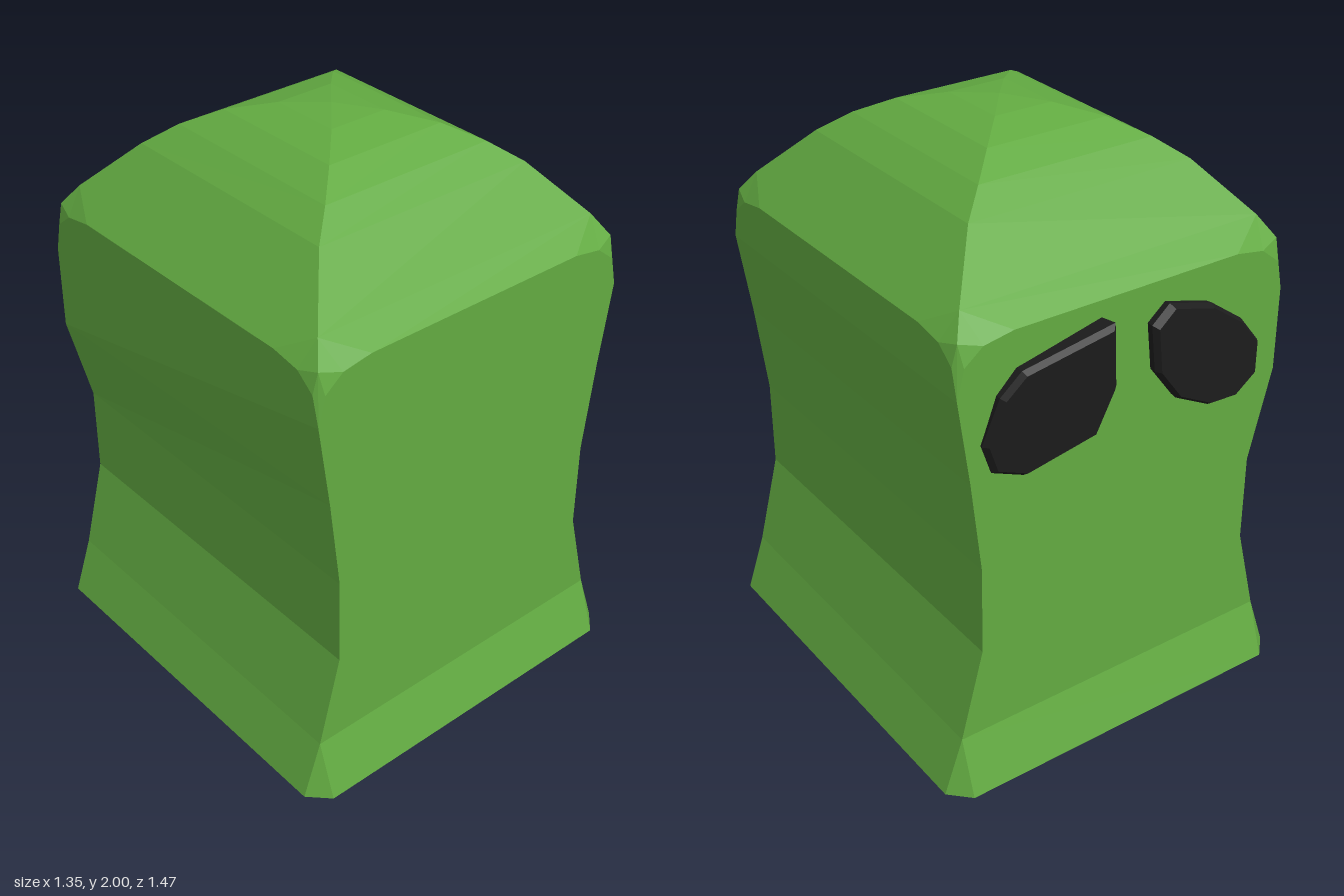
import * as THREE from 'three';

const green = new THREE.MeshStandardMaterial({ color: 0x62aa41 });
green.name = 'green';
const black = new THREE.MeshStandardMaterial({ color: 0x1c1c1c });
black.name = 'black';

// Collects flat faces, turning each one away from a vertical core line.
class FaceBuilder {
  constructor(coreX, coreZ, lowY, highY) {
    this.points = [];
    this.core = (p) => new THREE.Vector3(coreX, THREE.MathUtils.clamp(p.y, lowY, highY), coreZ);
  }
  tri(a, b, c) {
    const [p, q, r] = [a, b, c].map((v) => new THREE.Vector3(...v));
    const normal = q.clone().sub(p).cross(r.clone().sub(p));
    if (normal.lengthSq() < 1e-12) return;
    const mid = p.clone().add(q).add(r).divideScalar(3);
    const outward = normal.dot(mid.clone().sub(this.core(mid))) > 0;
    this.points.push(p, ...(outward ? [q, r] : [r, q]));
  }
  quad(a, b, c, d) {
    this.tri(a, b, c);
    this.tri(a, c, d);
  }
  mesh(name, material) {
    const geometry = new THREE.BufferGeometry().setFromPoints(this.points);
    geometry.computeVertexNormals();
    const mesh = new THREE.Mesh(geometry, material);
    mesh.name = name;
    return mesh;
  }
}

const X = 0.61, Z = 0.663;

// Corner posts: half width at each height; one rear corner keeps its full width longer.
const posts = [[0.61, 0.195], [0.53, 0.51], [0.53, 0.82], [0.568, 1.14], [X, 1.43]];
const post = (i, sx, sz) => {
  const wide = i === 3 && sx < 0 && sz < 0;
  return [sx * (wide ? X : posts[i][0]), posts[i][1], sz * Z];
};

// Rounded upper corners of the walls: [inset from the corner, height]
const arch = [[0, 1.43], [0.025, 1.53], [0.09, 1.582], [0.195, 1.6]];
const archFront = (i, sx, sz) => [sx * (X - arch[i][0]), arch[i][1], sz * Z];
const archSide = (i, sx, sz) => [sx * X, arch[i][1], sz * (Z - arch[i][0])];

// Roof rings: [half width, half depth, height]
const roof = [[0.55, 0.59, 1.67], [0.41, 0.43, 1.833], [0.32, 0.35, 1.9],
  [0.22, 0.25, 1.955], [0.105, 0.125, 1.988], [0, 0, 2]];
const roofCorner = (i, sx, sz) => [sx * roof[i][0], roof[i][2], sz * roof[i][1]];

function makeBody() {
  const f = new FaceBuilder(0, 0, 0.2, 1.4);
  const hem = 0.067;
  // a band spans two mirrored corners on the front/back or on a side
  const bandZ = (low, high, s) => f.quad(low(-1, s), low(1, s), high(1, s), high(-1, s));
  const bandX = (low, high, s) => f.quad(low(s, -1), low(s, 1), high(s, 1), high(s, -1));
  const hemZ = (sx, sz) => [sx * X, 0, sz * (Z + hem)];
  const hemX = (sx, sz) => [sx * (X + hem), 0, sz * Z];
  const at = (fn, i) => (sx, sz) => fn(i, sx, sz);

  for (const s of [-1, 1]) {
    // flared hem
    bandZ(hemZ, at(post, 0), s);
    bandX(hemX, at(post, 0), s);
    // walls
    for (let i = 0; i < posts.length - 1; i++) {
      bandZ(at(post, i), at(post, i + 1), s);
      bandX(at(post, i), at(post, i + 1), s);
    }
    for (let i = 0; i < arch.length - 1; i++) {
      bandZ(at(archFront, i), at(archFront, i + 1), s);
      bandX(at(archSide, i), at(archSide, i + 1), s);
    }
    // roof
    bandZ(at(archFront, 3), at(roofCorner, 0), s);
    bandX(at(archSide, 3), at(roofCorner, 0), s);
    for (let i = 0; i < roof.length - 1; i++) {
      bandZ(at(roofCorner, i), at(roofCorner, i + 1), s);
      bandX(at(roofCorner, i), at(roofCorner, i + 1), s);
    }
    // softened corners and underside
    for (const t of [-1, 1]) {
      f.tri(hemZ(s, t), hemX(s, t), post(0, s, t));
      const crown = roofCorner(0, s, t);
      const bulge = [s * 0.593, 1.6, t * 0.642];
      for (const side of [archFront, archSide]) {
        f.tri(crown, side(3, s, t), side(2, s, t));
        f.tri(crown, side(2, s, t), bulge);
        f.tri(side(2, s, t), side(1, s, t), bulge);
        f.tri(side(1, s, t), side(0, s, t), bulge);
      }
      f.tri([0, 0, 0], hemZ(s, t), hemX(s, t));
    }
    f.tri([0, 0, 0], hemZ(-1, s), hemZ(1, s));
    f.tri([0, 0, 0], hemX(s, -1), hemX(s, 1));
  }
  return f.mesh('body', green);
}

// Thick faceted eye on the rear wall; depth(x, y) gives the tilted outer face.
function makeEye(name, outline, depth) {
  const n = outline.length;
  const cx = outline.reduce((sum, p) => sum + p[0], 0) / n;
  const cy = outline.reduce((sum, p) => sum + p[1], 0) / n;
  const f = new FaceBuilder(cx, -0.655, cy, cy);
  const ring = (k, zOf) => outline.map(([x, y]) => {
    const px = cx + (x - cx) * k, py = cy + (y - cy) * k;
    return [px, py, zOf(px, py)];
  });
  const base = ring(0.97, () => -0.65);
  const rim = ring(1, (x, y) => depth(x, y) + 0.018);
  const face = ring(0.93, depth);
  for (let i = 0; i < n; i++) {
    const j = (i + 1) % n;
    f.quad(base[i], base[j], rim[j], rim[i]);
    f.quad(rim[i], rim[j], face[j], face[i]);
    f.tri(face[i], face[j], [cx, cy, depth(cx, cy)]);
  }
  return f.mesh(name, black);
}

export function createModel() {
  const model = new THREE.Group();
  model.name = 'figure';
  model.add(makeBody());
  model.add(makeEye('leftEye',
    [[0.535, 1.26], [0.48, 1.41], [0.41, 1.48], [0.1, 1.55], [0.08, 1.33], [0.14, 1.18], [0.39, 1.115], [0.5, 1.16]],
    (x, y) => -0.735 + 0.075 * (x - 0.13) - 0.052 * (y - 1.54)));
  model.add(makeEye('rightEye',
    [[-0.065, 1.475], [-0.13, 1.53], [-0.3, 1.48], [-0.43, 1.386], [-0.51, 1.285], [-0.51, 1.17],
      [-0.427, 1.11], [-0.314, 1.117], [-0.175, 1.19], [-0.085, 1.31]],
    (x) => -0.707 - 0.02 * (x + 0.09)));
  return model;
}
